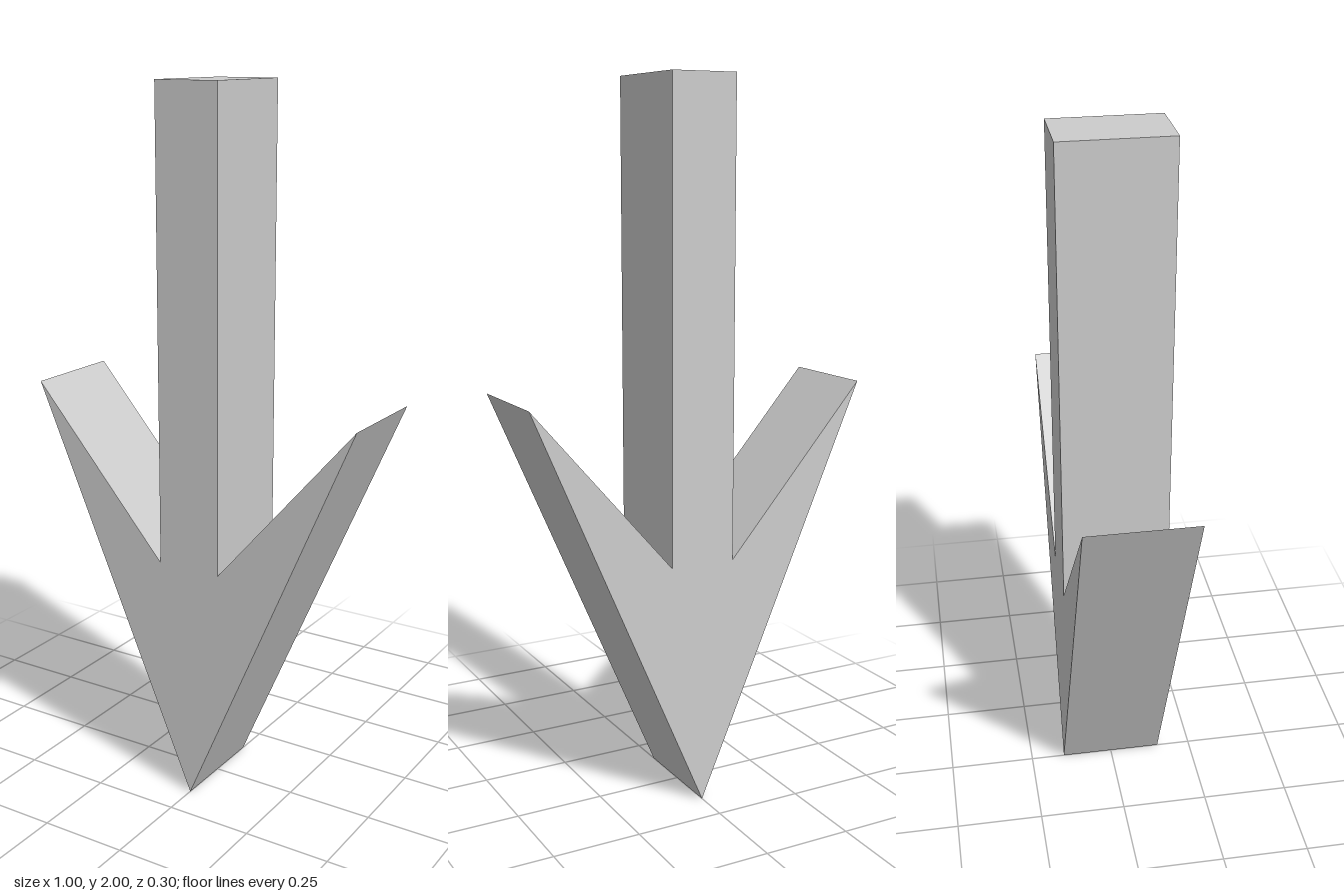
import * as THREE from 'three';

const DEPTH = 0.3;

export function createModel() {
  const group = new THREE.Group();
  group.name = 'downArrow';

  // Arrow outline, counter-clockwise from the tip: barb, notch, shaft, notch, barb
  const outline = [
    [0, 0], [0.5, 1.165], [0.094, 0.695], [0.094, 2],
    [-0.094, 2], [-0.094, 0.695], [-0.5, 1.165],
  ].map(([x, y]) => new THREE.Vector2(x, y));

  // Solid arrow, centred in depth
  const geometry = new THREE.ExtrudeGeometry(new THREE.Shape(outline), {
    depth: DEPTH,
    bevelEnabled: false,
  });
  geometry.translate(0, 0, -DEPTH / 2);

  const material = new THREE.MeshStandardMaterial({ color: 0xcccccc, flatShading: true });
  const arrow = new THREE.Mesh(geometry, material);
  arrow.name = 'arrowBody';
  group.add(arrow);

  return group;
}
